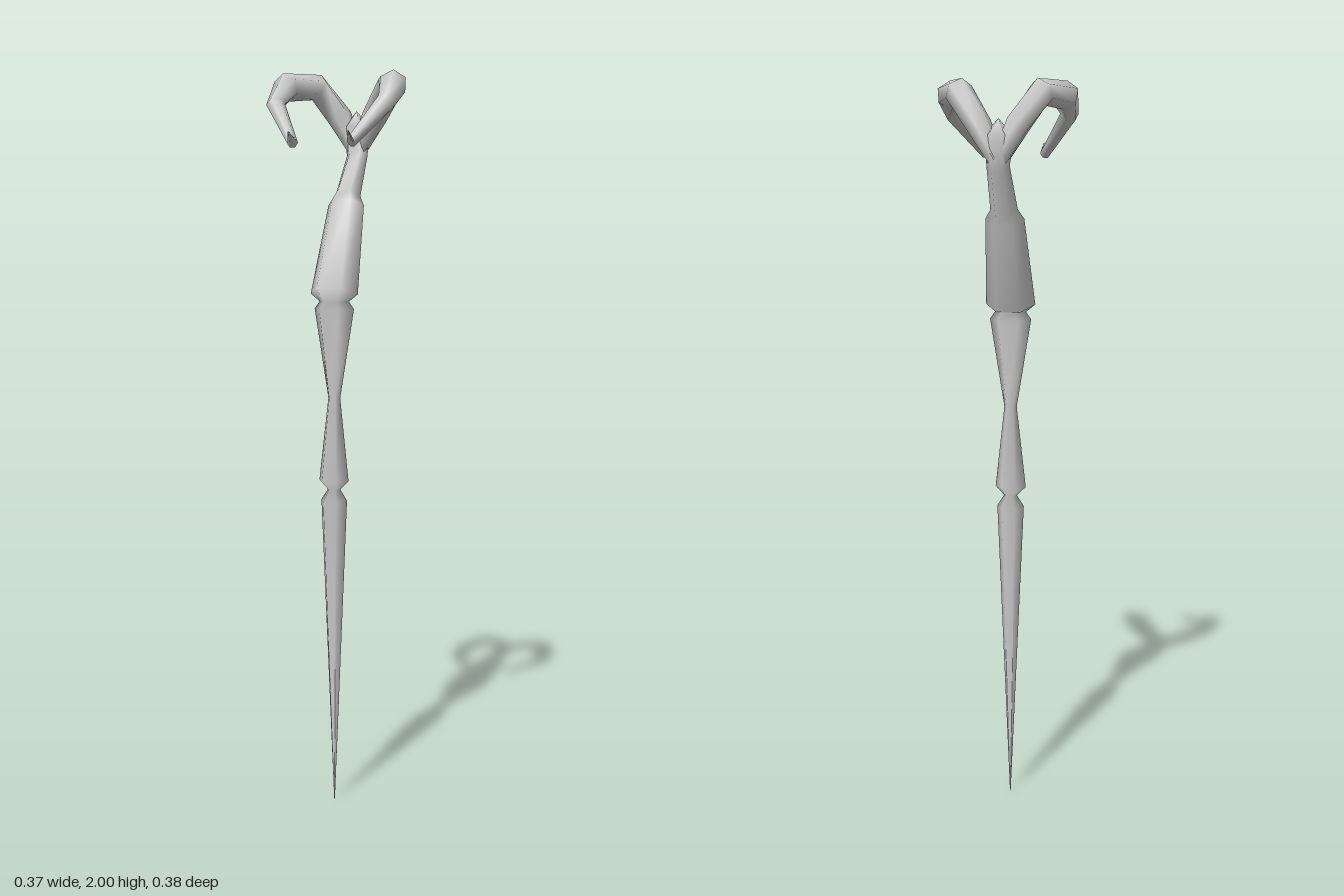
import * as THREE from 'three';

const SIDES = 6;
const material = new THREE.MeshStandardMaterial({ color: 0xcccccc });

// Smooth six-sided loft. Each ring: [x, y, z, radius along ref, radius across ref]
function loft(name, rings, ref) {
  const centres = rings.map(r => new THREE.Vector3(r[0], r[1], r[2]));
  const u = ref.clone();
  const pos = [], index = [];
  rings.forEach((ring, i) => {
    const a = centres[Math.max(i - 1, 0)];
    const b = centres[Math.min(i + 1, rings.length - 1)];
    const t = b.clone().sub(a).normalize();
    u.addScaledVector(t, -u.dot(t)).normalize();
    const v = t.clone().cross(u);
    const ru = ring[3], rv = ring[4] ?? ru;
    for (let j = 0; j < SIDES; j++) {
      const ang = (j / SIDES) * Math.PI * 2;
      const p = centres[i].clone()
        .addScaledVector(u, Math.cos(ang) * ru)
        .addScaledVector(v, Math.sin(ang) * rv);
      pos.push(p.x, p.y, p.z);
      if (i < rings.length - 1) {
        const k = (j + 1) % SIDES, lo = i * SIDES, hi = lo + SIDES;
        index.push(lo + j, lo + k, hi + k, lo + j, hi + k, hi + j);
      }
    }
  });
  const geo = new THREE.BufferGeometry();
  geo.setAttribute('position', new THREE.Float32BufferAttribute(pos, 3));
  geo.setIndex(index);
  geo.computeVertexNormals();
  const mesh = new THREE.Mesh(geo, material);
  mesh.name = name;
  return mesh;
}

export function createModel() {
  const group = new THREE.Group();
  group.name = 'forkedStaff';
  const cx = -0.004;

  // Shaft: long spike, two pinched joints, waisted segment, leaning grip and neck
  group.add(loft('shaft', [
    [cx, 0, 0.024, 0.001],
    [cx, 0.85, 0.026, 0.037, 0.042],
    [cx, 0.88, 0.026, 0.018, 0.02],
    [cx, 0.905, 0.028, 0.042, 0.045],
    [cx, 1.13, 0.025, 0.017, 0.019],
    [cx, 1.37, 0.025, 0.056, 0.047],
    [cx, 1.39, 0.025, 0.042, 0.036],
    [cx, 1.41, 0.026, 0.067, 0.053],
    [cx, 1.645, -0.07, 0.051, 0.05],
    [cx, 1.67, -0.084, 0.036, 0.039],
    [0, 1.78, -0.15, 0.03, 0.025],
    [0, 1.86, -0.15, 0.036, 0.04],
    [0, 1.9, -0.145, 0.001],
  ], new THREE.Vector3(1, 0, 0)));

  // Pair of horns curling up, forward and down; both tips lean towards +x
  for (const s of [1, -1]) {
    const path = [
      [0, 1.79, -0.152, 0.022],
      [s * 0.05, 1.885, -0.15, 0.042, 0.034],
      [s * 0.106, 1.965, -0.118, 0.037],
      [s * 0.15, 1.957, 0, 0.038],
      [s * 0.153, 1.908, 0.067, 0.025],
      [s * 0.08, 1.803, 0.132, 0.014],
      [s > 0 ? 0.093 : -0.07, 1.83, 0.19, 0.001],
    ];
    group.add(loft(s > 0 ? 'leftHorn' : 'rightHorn', path, new THREE.Vector3(0, 0, 1)));
  }
  return group;
}
